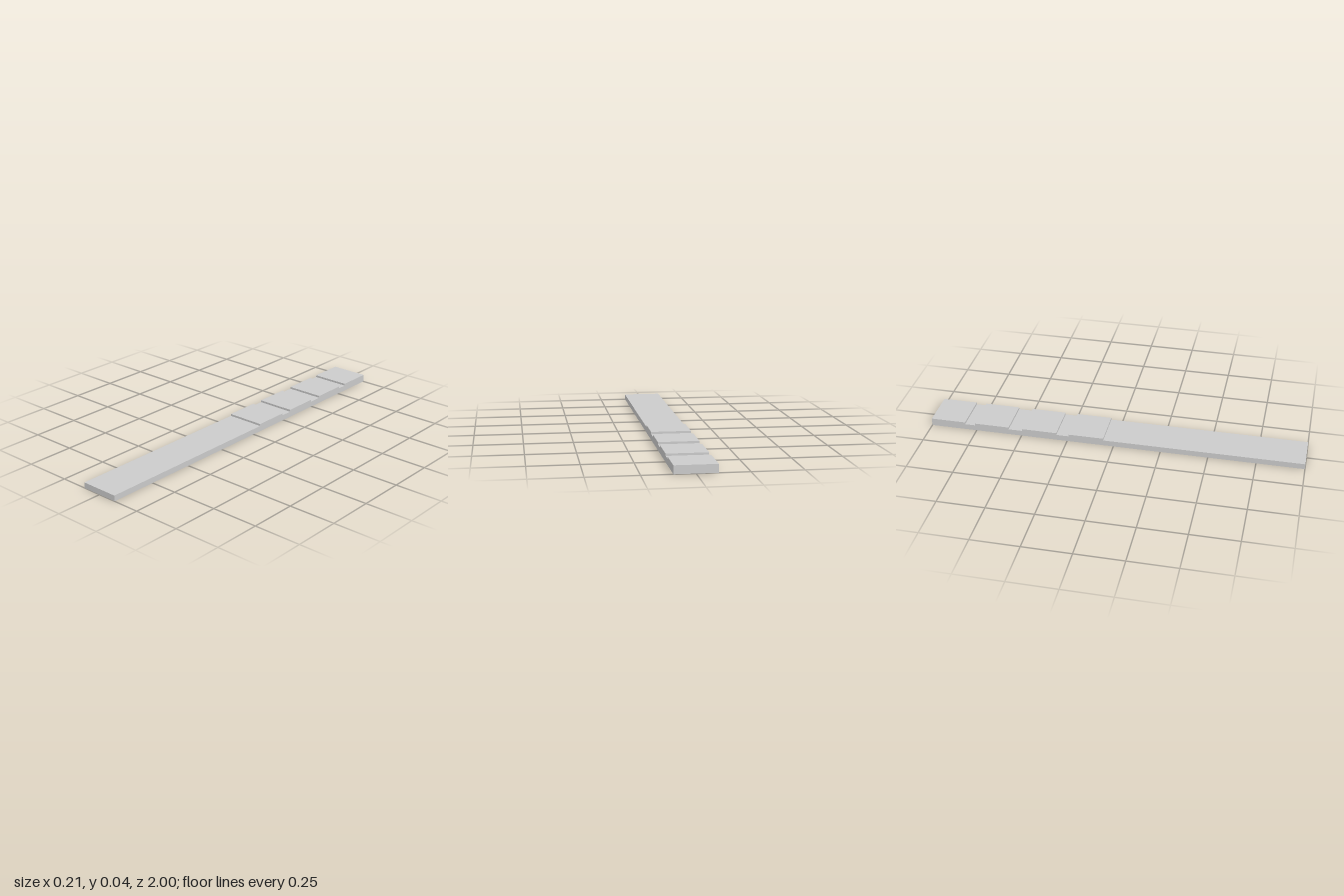
import * as THREE from 'three';

const WIDTH = 0.206, BASE_HEIGHT = 0.03, PAD_HEIGHT = 0.011, PAD_LENGTH = 0.187;

export function createModel() {
  const model = new THREE.Group();
  model.name = 'paddedStrip';
  const material = new THREE.MeshStandardMaterial({ color: 0xcccccc });

  // Box resting on height y, centred at z
  const addBox = (name, height, length, y, z) => {
    const mesh = new THREE.Mesh(new THREE.BoxGeometry(WIDTH, height, length), material);
    mesh.name = name;
    mesh.position.set(0, y + height / 2, z);
    model.add(mesh);
  };

  // Long flat base plank
  addBox('basePlank', BASE_HEIGHT, 2, 0, 0);

  // Four thin raised pads over the rear half, the last flush with the end
  [-0.148, -0.402, -0.664, -0.9065].forEach((z, i) =>
    addBox(`raisedPad${i + 1}`, PAD_HEIGHT, PAD_LENGTH, BASE_HEIGHT, z));

  return model;
}
